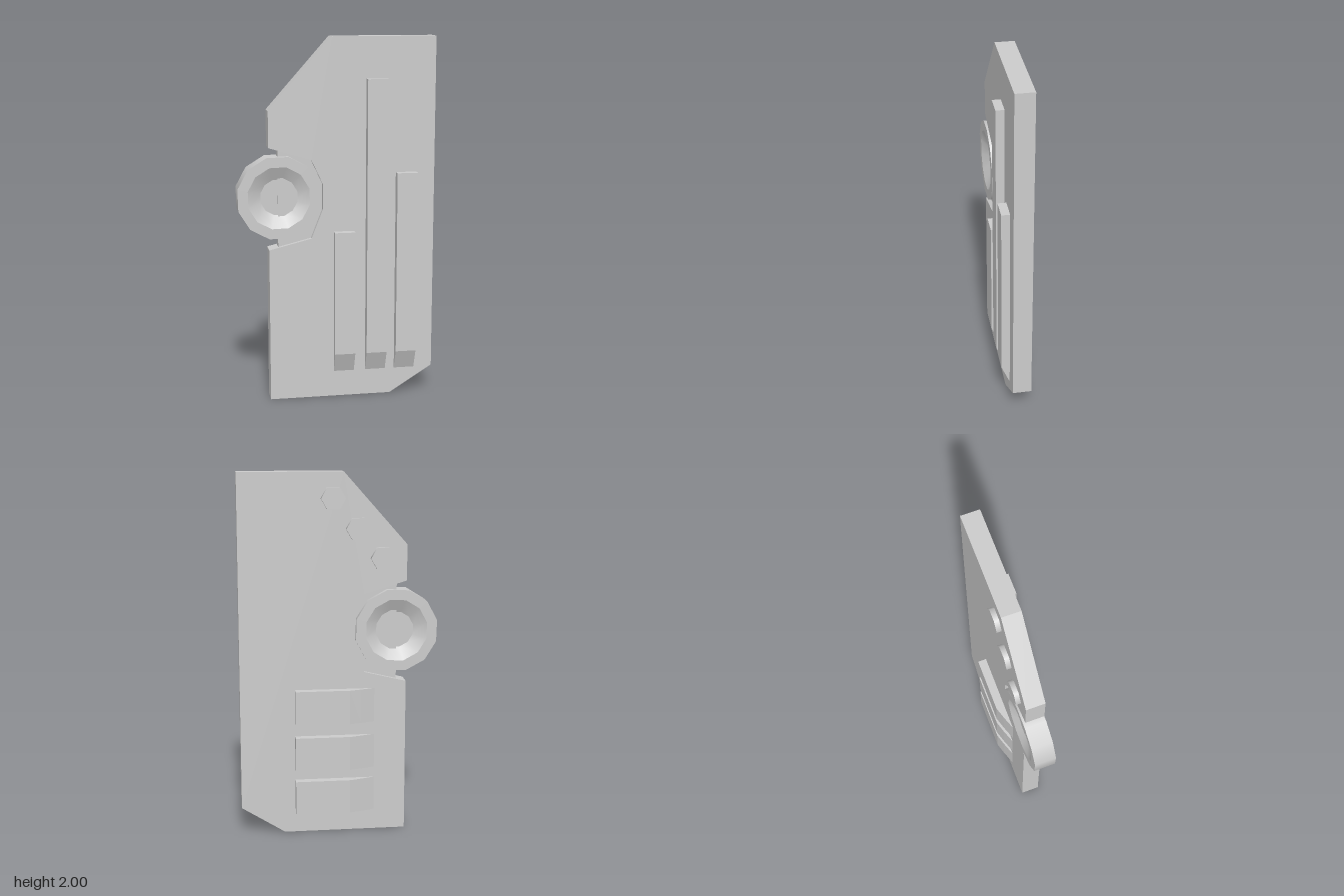
import * as THREE from 'three';
import { mergeGeometries } from 'three/addons/utils/BufferGeometryUtils.js';

const material = new THREE.MeshStandardMaterial({ color: 0xcccccc });
const FRONT = 0.05, BACK = -0.053;

export function createModel() {
  const group = new THREE.Group();
  const add = (name, geometry) => {
    const mesh = new THREE.Mesh(geometry, material);
    mesh.name = name;
    group.add(mesh);
    return mesh;
  };
  const extrude = (points, depth) => new THREE.ExtrudeGeometry(
    new THREE.Shape(points.map(([x, y]) => new THREE.Vector2(x, y))),
    { depth, bevelEnabled: false });

  // Main plate with cut corners and a notch for the wheel
  add('plate', extrude([
    [-0.375, 0], [0.3, 0], [0.54, 0.15], [0.54, 2], [-0.03, 2], [-0.375, 1.61],
    [-0.375, 1.413], [-0.143, 1.345], [-0.08, 1.21], [-0.08, 1.07], [-0.143, 0.91], [-0.375, 0.853],
  ], FRONT - BACK).translate(0, 0, BACK));

  // Thin recessed web filling the notch behind the wheel
  add('notchWeb', extrude([
    [-0.323, 0.86], [-0.07, 0.9], [-0.07, 1.36], [-0.323, 1.405],
  ], 0.055).translate(0, 0, -0.03));

  // Twelve-sided wheel, dished on both faces; one lathe per band keeps the edges sharp
  const profile = [
    [0, -0.024], [0.1, -0.024], [0.173, -0.06], [0.23, -0.06],
    [0.23, 0.057], [0.173, 0.057], [0.1, 0.021], [0, 0.021],
  ].map(([r, h]) => new THREE.Vector2(r, h));
  const bands = profile.slice(1).map((p, i) =>
    new THREE.LatheGeometry([profile[i], p], 12, Math.PI / 12));
  add('wheel', mergeGeometries(bands).rotateX(Math.PI / 2).rotateZ(0.03))
    .position.set(-0.32, 1.14, 0);

  // Front ribs with sloped lower ends: profile in z and y, extruded along x
  for (const [x, top] of [[-0.02, 0.945], [0.158, 1.775], [0.324, 1.265]]) {
    add('frontRib', extrude([
      [-FRONT, 0.145], [-FRONT, top], [-0.096, top], [-0.096, 0.255],
    ].reverse(), 0.114).rotateY(Math.PI / 2).translate(x, 0, 0));
  }

  // Back bars tapering into the plate: profile in x and z, extruded along y
  for (const y of [0.115, 0.365, 0.628]) {
    add('backBar', extrude([
      [-0.2, -BACK], [0.24, -BACK], [0.24, 0.1], [-0.06, 0.1], [-0.125, 0.08],
    ], 0.19).rotateX(-Math.PI / 2).translate(0, y, 0));
  }

  // Hexagonal bolts along the sloped corner
  for (const [x, y] of [[0.028, 1.86], [-0.107, 1.697], [-0.242, 1.538]]) {
    add('bolt', new THREE.CylinderGeometry(0.067, 0.067, 0.03, 6, 1, false, Math.PI / 2)
      .rotateX(Math.PI / 2)).position.set(x, y, -0.064);
  }

  return group;
}
